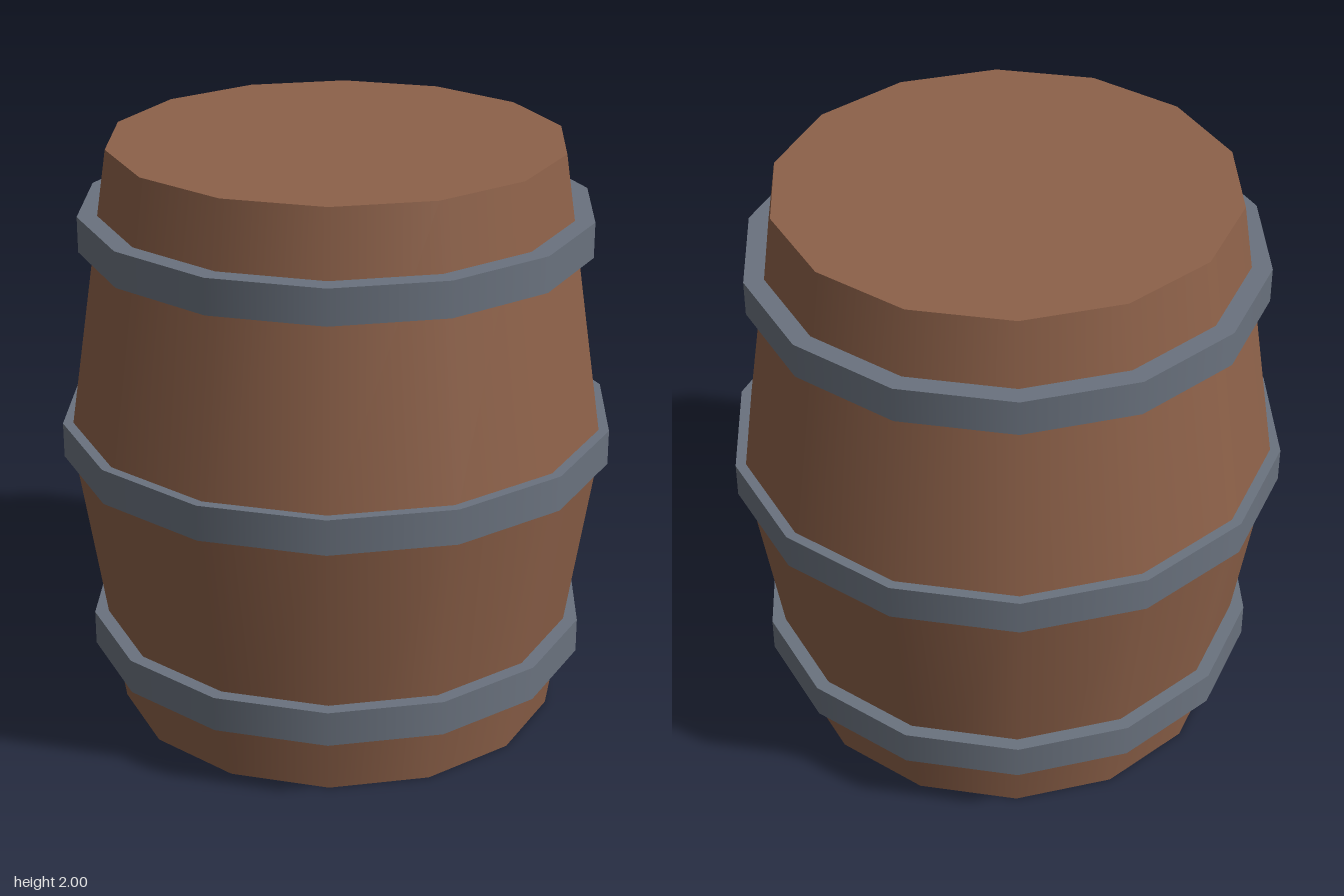
import * as THREE from 'three';
import { mergeGeometries } from 'three/addons/utils/BufferGeometryUtils.js';

const SIDES = 14;
const END_R = 0.76, BELLY_R = 0.912;

export function createModel() {
  const wood = new THREE.MeshStandardMaterial({ color: 0x8d6149 });
  wood.name = 'wood';
  const iron = new THREE.MeshStandardMaterial({ color: 0x6a727e });
  iron.name = 'iron';

  const barrel = new THREE.Group();
  barrel.name = 'barrel';

  const add = (name, geometry, material, y) => {
    const mesh = new THREE.Mesh(geometry, material);
    mesh.name = name;
    mesh.position.y = y;
    barrel.add(mesh);
  };

  // Flat ring or disc facing up (dir 1) or down (dir -1), corners on the z axis
  const ring = (inner, outer, y, dir) =>
    new THREE.RingGeometry(inner, outer, SIDES, 1, Math.PI / 2)
      .rotateX(-dir * Math.PI / 2)
      .translate(0, y, 0);

  // Staves: two tapered halves meeting in a crease at the belly
  add('upperStaves', new THREE.CylinderGeometry(END_R, BELLY_R, 1, SIDES, 1, true), wood, 1.5);
  add('lowerStaves', new THREE.CylinderGeometry(BELLY_R, END_R, 1, SIDES, 1, true), wood, 0.5);

  // Flat lid and base
  const disc = (dir) =>
    new THREE.CircleGeometry(END_R, SIDES, Math.PI / 2).rotateX(-dir * Math.PI / 2);
  add('lid', disc(1), wood, 2);
  add('base', disc(-1), wood, 0);

  // Hoops: upright bands whose inner edges sink into the staves
  const hoop = (radius, height) => mergeGeometries([
    new THREE.CylinderGeometry(radius, radius, height, SIDES, 1, true),
    ring(radius - 0.1, radius, height / 2, 1),
    ring(radius - 0.1, radius, -height / 2, -1),
  ]);
  for (const [name, y, radius] of [
    ['lowerHoop', 0.28, 0.86],
    ['middleHoop', 1, 0.938],
    ['upperHoop', 1.72, 0.86],
  ]) add(name, hoop(radius, 0.12), iron, y);

  return barrel;
}
